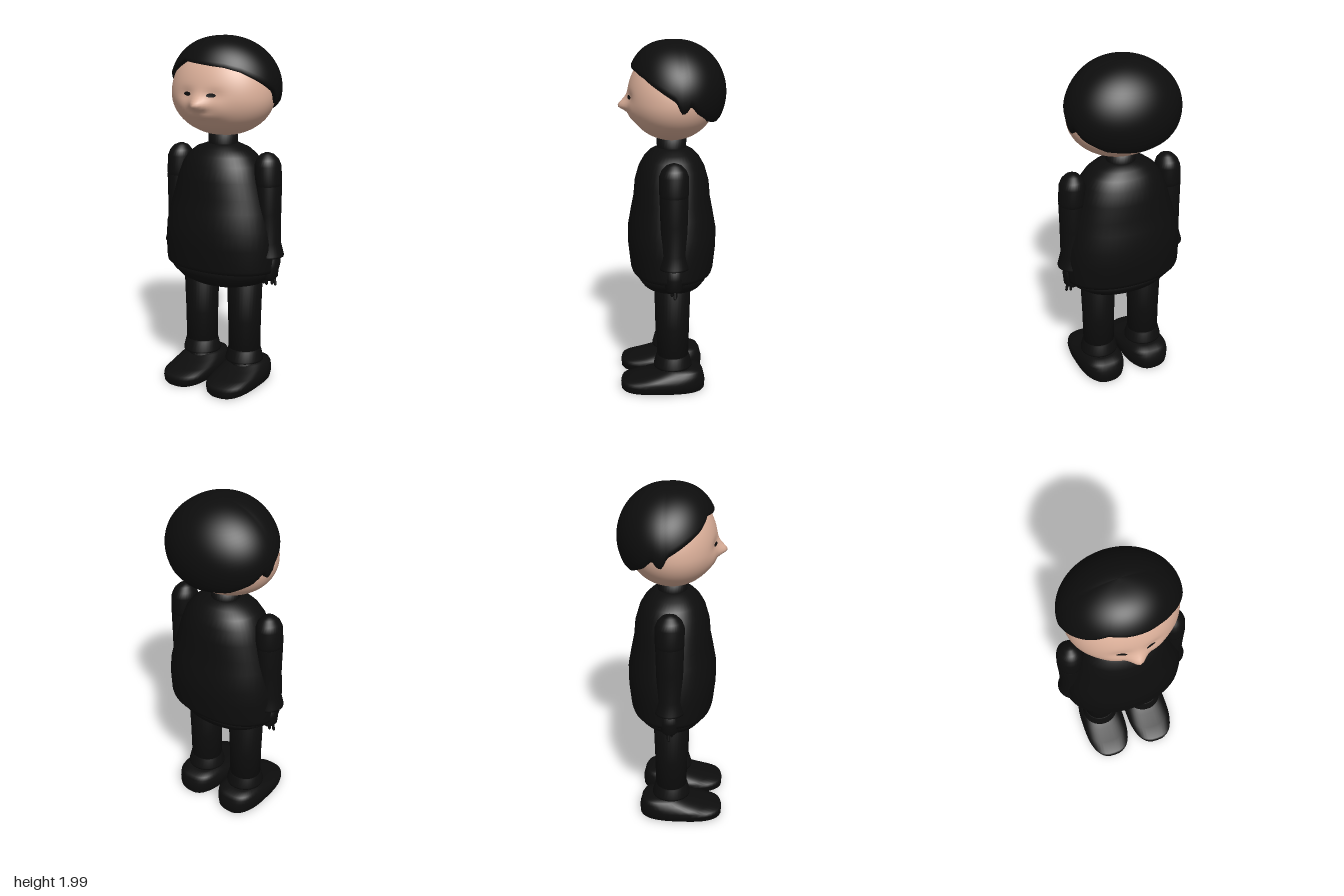
import * as THREE from 'three';

const black = new THREE.MeshStandardMaterial({ color: 0x0d0d0d });
black.name = 'black cloth and hair';
const skin = new THREE.MeshStandardMaterial({ color: 0xdcb09a });
skin.name = 'skin';

// Closed skin over rows of points; rows run from bottom to top
function skinGeometry(rows, cols, point) {
  const pos = [], idx = [];
  for (let i = 0; i < rows; i++)
    for (let j = 0; j < cols; j++) pos.push(...point(i, (j / cols) * Math.PI * 2));
  for (let i = 0; i < rows - 1; i++)
    for (let j = 0; j < cols; j++) {
      const k = (j + 1) % cols;
      const a = i * cols + j, b = i * cols + k, c = a + cols, d = b + cols;
      idx.push(a, b, d, a, d, c);
    }
  const g = new THREE.BufferGeometry();
  g.setAttribute('position', new THREE.Float32BufferAttribute(pos, 3));
  g.setIndex(idx);
  g.computeVertexNormals();
  return g;
}

// Loft of level sections [y, radius x, radius z, centre x, centre z], capped at both ends
function loft(sections, power = 2, cols = 32) {
  const cap = ([y, , , x = 0, z = 0]) => [y, 0, 0, x, z];
  const all = [cap(sections[0]), ...sections, cap(sections[sections.length - 1])];
  const bend = (v) => Math.sign(v) * Math.pow(Math.abs(v), 2 / power);
  return skinGeometry(all.length, cols, (i, a) => {
    const [y, rx, rz, x = 0, z = 0] = all[i];
    return [x + rx * bend(Math.sin(a)), y, z + rz * bend(Math.cos(a))];
  });
}

function add(group, name, geometry, material = black) {
  const m = new THREE.Mesh(geometry, material);
  m.name = name;
  group.add(m);
  return m;
}

// Face relief: nose, bridge, lips, eye sockets and cheeks
const bell = (v, s) => Math.exp(-(v * v) / (s * s));
function relief(x, y) {
  const nose = 0.055 * bell(x, 0.045) * bell(y - 1.64, y > 1.64 ? 0.045 : 0.025);
  const lips = 0.012 * bell(x, 0.08) * bell(y - 1.585, 0.022);
  const sockets = -0.01 * bell(Math.abs(x) - 0.085, 0.05) * bell(y - 1.7, 0.03);
  const cheeks = 0.008 * bell(Math.abs(x) - 0.11, 0.06) * bell(y - 1.62, 0.05);
  return nose + lips + sockets + cheeks;
}
const HEAD = { y: 1.68, rx: 0.302, rz: 0.245, up: 0.29, down: 0.226 };
function faceZ(x, y) {
  const v = (y - HEAD.y) / (y > HEAD.y ? HEAD.up : HEAD.down);
  return HEAD.rz * Math.sqrt(Math.max(0, 1 - (x / HEAD.rx) ** 2 - v * v)) + relief(x, y);
}

function headGeometry() {
  const rows = 56;
  return skinGeometry(rows, 96, (i, a) => {
    const e = (i / (rows - 1) - 0.5) * Math.PI;
    const s = Math.sin(e), c = Math.cos(e);
    const x = HEAD.rx * c * Math.sin(a);
    const y = HEAD.y + s * (s > 0 ? HEAD.up : HEAD.down);
    let z = HEAD.rz * c * Math.cos(a);
    if (z > 0) z += relief(x, y) * Math.min(1, z / 0.1);
    return [x, y, z];
  });
}

// Hairline height by angle from the front, in degrees
const hairline = [[-180, 1.56], [-140, 1.58], [-115, 1.635], [-103, 1.69], [-98, 1.65], [-92, 1.645],
  [-86, 1.71], [-65, 1.77], [-45, 1.82], [-27, 1.872], [0, 1.86], [27, 1.845], [45, 1.82], [65, 1.77],
  [86, 1.71], [92, 1.645], [98, 1.65], [103, 1.69], [115, 1.635], [140, 1.58], [180, 1.56]];
function edgeHeight(deg) {
  const k = Math.max(1, hairline.findIndex((p) => p[0] >= deg));
  const [a, ya] = hairline[k - 1], [b, yb] = hairline[k];
  return ya + ((yb - ya) * (deg - a)) / (b - a);
}

function hairGeometry() {
  const rows = 26, cy = 1.72, ry = 0.28;
  return skinGeometry(rows, 120, (i, a) => {
    const deg = (((a * 180) / Math.PI + 180) % 360) - 180;
    const start = Math.asin((edgeHeight(deg) - cy) / ry);
    const t = Math.max(0, i - 1) / (rows - 2);
    const e = start + (Math.PI / 2 - start) * t;
    const front = Math.max(0, Math.cos(a)); // fuller fringe at the front
    let r = Math.pow(Math.max(0, Math.cos(e)), 1 - 0.3 * front);
    if (i === 0) r *= 0.82; // underside tucked in to the head
    else if (i === 1) r *= 0.98;
    const rz = Math.cos(a) > 0 ? 0.27 + 0.012 * front : 0.27;
    return [0.325 * r * Math.sin(a), cy + ry * Math.sin(e), -0.03 + rz * r * Math.cos(a)];
  });
}

function eyeGeometry(x, y) {
  const g = new THREE.CircleGeometry(1, 20);
  g.scale(0.026, 0.011, 1);
  g.translate(x, y, 0);
  const p = g.attributes.position;
  for (let i = 0; i < p.count; i++) p.setZ(i, faceZ(p.getX(i), p.getY(i)) + 0.004);
  g.computeVertexNormals();
  return g;
}

function addArm(model, s) {
  const arm = new THREE.Group();
  arm.name = s > 0 ? 'leftArm' : 'rightArm';
  model.add(arm);
  const x = (v) => s * v;
  add(arm, 'upperSleeve', loft([[1.18, 0.07, 0.075, x(0.298)], [1.22, 0.074, 0.08, x(0.296)],
    [1.31, 0.072, 0.08, x(0.292)], [1.345, 0.06, 0.066, x(0.29)], [1.37, 0.038, 0.042, x(0.288)],
    [1.38, 0.015, 0.016, x(0.287)]]));
  add(arm, 'lowerSleeve', loft([[0.8, 0.08, 0.083, x(0.308)], [0.81, 0.08, 0.083, x(0.308)],
    [0.88, 0.064, 0.07, x(0.305)], [1.05, 0.066, 0.074, x(0.302)], [1.2, 0.072, 0.078, x(0.298)],
    [1.225, 0.06, 0.065, x(0.297)]]));
  add(arm, 'hand', loft([[0.66, 0.028, 0.032, x(0.31)], [0.68, 0.045, 0.048, x(0.312)],
    [0.74, 0.05, 0.055, x(0.312)], [0.81, 0.045, 0.05, x(0.31)]]));
  for (let i = 0; i < 4; i++) {
    const f = add(arm, 'finger', new THREE.CapsuleGeometry(0.008, 0.045, 4, 8));
    f.position.set(x(0.277 + i * 0.022), 0.658, 0.012 * Math.sin(i * 2));
    f.rotation.z = x((i - 1.2) * 0.12);
  }
}

function addLeg(model, s) {
  const leg = new THREE.Group();
  leg.name = s > 0 ? 'leftLeg' : 'rightLeg';
  model.add(leg);
  const x = s * 0.148;
  add(leg, 'trouserLeg', loft([[0.2, 0.093, 0.09, x], [0.4, 0.095, 0.094, x], [0.66, 0.103, 0.102, x]]));
  add(leg, 'trouserCuff', loft([[0.15, 0.11, 0.11, x], [0.16, 0.11, 0.11, x], [0.215, 0.097, 0.095, x],
    [0.23, 0.085, 0.085, x]]));
  add(leg, 'ankle', loft([[0.1, 0.085, 0.085, x], [0.17, 0.085, 0.085, x]]));
  add(leg, 'shoe', loft([[0.008, 0.115, 0.233, x, 0.057], [0.02, 0.128, 0.241, x, 0.058],
    [0.05, 0.136, 0.243, x, 0.058], [0.07, 0.136, 0.24, x, 0.055], [0.087, 0.132, 0.2, x, 0.02],
    [0.11, 0.122, 0.155, x, -0.02], [0.13, 0.108, 0.118, x, -0.045], [0.143, 0.085, 0.085, x, -0.03]],
    2.7, 40));
}

export function createModel() {
  const model = new THREE.Group();
  model.name = 'figure';

  // Head
  add(model, 'head', headGeometry(), skin);
  add(model, 'hair', hairGeometry());
  add(model, 'leftEye', eyeGeometry(0.075, 1.7));
  add(model, 'rightEye', eyeGeometry(-0.078, 1.7));

  // Body
  add(model, 'neck', loft([[1.36, 0.088, 0.088], [1.41, 0.082, 0.082], [1.465, 0.083, 0.083]]));
  add(model, 'jumper', loft([[0.71, 0.345, 0.23], [0.73, 0.349, 0.236], [0.85, 0.35, 0.249],
    [0.95, 0.34, 0.25], [1.05, 0.316, 0.232], [1.13, 0.292, 0.216], [1.22, 0.265, 0.208],
    [1.3, 0.235, 0.185], [1.35, 0.2, 0.157], [1.385, 0.155, 0.125], [1.41, 0.085, 0.085]], 2.15, 48));
  add(model, 'hips', loft([[0.598, 0.13, 0.1], [0.605, 0.19, 0.135], [0.63, 0.26, 0.175],
    [0.67, 0.31, 0.2], [0.72, 0.33, 0.212]], 2.15, 48));

  for (const s of [1, -1]) {
    addArm(model, s);
    addLeg(model, s);
  }
  return model;
}
